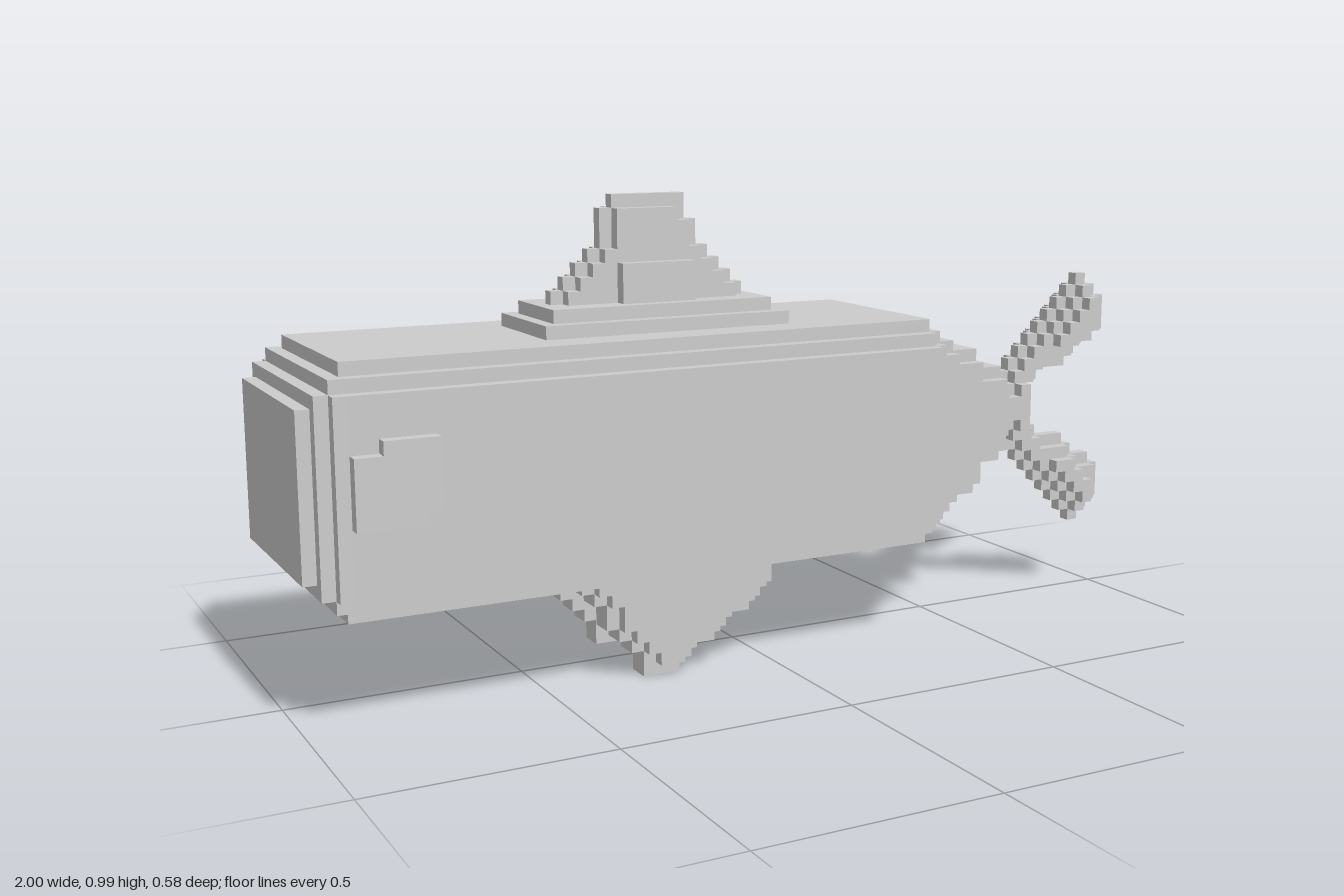
import * as THREE from 'three';
import { mergeGeometries } from 'three/addons/utils/BufferGeometryUtils.js';

// One cell of the block grid: 73 cells make the length of 2 units
const U = 2 / 73;
const MID = 17; // height of the body axis, in cells

const material = new THREE.MeshStandardMaterial({ color: 0xcccccc, flatShading: true });

// Box from cell bounds; x counts from the nose, y from the ground, z from the middle
function block(x0, x1, y0, y1, z0, z1) {
  return new THREE.BoxGeometry((x1 - x0) * U, (y1 - y0) * U, (z1 - z0) * U)
    .translate(((x0 + x1) / 2 - 36.5) * U, ((y0 + y1) / 2) * U, ((z0 + z1) / 2) * U);
}

// Body section with n stair steps on its four long edges
function section(x0, x1, hy, hz, n) {
  const out = [];
  for (let t = 0; t <= n; t++) {
    const h = hy - t, w = hz - (n - t);
    out.push(block(x0, x1, MID - h, MID + h, -w, w));
  }
  return out;
}

// Columns [low, high] to blocks, joining equal neighbours
function columnBlocks(cols, x0, z0, z1) {
  const out = [];
  for (let i = 0; i < cols.length;) {
    const [lo, hi] = cols[i];
    let j = i + 1;
    while (j < cols.length && cols[j][0] === lo && cols[j][1] === hi) j++;
    if (hi > lo) out.push(block(x0 + i, x0 + j, lo, hi, z0, z1));
    i = j;
  }
  return out;
}

// Shrinks a column outline by one cell; open sides (root edges) stay in place
function erode(cols, { bottom = true, top = true, start = true } = {}) {
  const none = [99, -99];
  return cols.map((c, i) => {
    const a = i > 0 ? cols[i - 1] : start ? none : c;
    const b = cols[i + 1] || none;
    return [
      bottom ? Math.max(c[0] + 1, a[0], b[0]) : c[0],
      top ? Math.min(c[1] - 1, a[1], b[1]) : c[1],
    ];
  });
}

export function createModel() {
  const model = new THREE.Group();
  const add = (name, geometries) => {
    const mesh = new THREE.Mesh(mergeGeometries(geometries), material);
    mesh.name = name;
    model.add(mesh);
  };

  // Long body with stepped edges: x start, x end, half height, half width, edge steps
  add('body', [
    [0, 1, 6, 7.5, 0],
    [1, 2, 7, 8.5, 0],
    [2, 3, 8, 9.5, 1],
    [3, 50, 9, 9.5, 2],
  ].flatMap((s) => section(...s)));

  // Taper towards the tail
  add('tailTaper', [
    [50, 51, 8, 8.5, 1],
    [51, 53, 7, 7.5, 1],
    [53, 56, 6, 6.5, 1],
    [56, 60, 4, 4.5, 1],
    [60, 61, 3, 3.5, 1],
  ].flatMap((s) => section(...s)));

  // Forked tail: thin rim, thicker core, mirrored about the body axis
  const tail = [];
  let lobe = [[0, 3], [0, 3], [0, 4], [0, 5], [2, 6], [3, 7], [3, 8], [3, 9],
    [4, 10], [5, 11], [5, 10], [6, 9]];
  for (let k = 0; k < 3; k++) {
    tail.push(...columnBlocks(lobe.map(([a, b]) => [MID + a, MID + b]), 61, -k - 0.5, k + 0.5));
    tail.push(...columnBlocks(lobe.map(([a, b]) => [MID - b, MID - a]), 61, -k - 0.5, k + 0.5));
    const next = erode(lobe, { start: false });
    // The two lobes stay joined at the root
    lobe = next.map((c, i) => (i < 3 ? [0, c[1]] : c));
  }
  add('tailFin', tail);

  // Dorsal fin on a two-step base
  const back = [27, 28, 29, 30, 31, 32, 35, 36, 36, 36, 36, 36, 36, 34, 32, 31, 30, 29, 28, 27]
    .map((top) => [26, top]);
  add('dorsalFin', [
    block(19, 39, 26, 27, -4.5, 4.5),
    block(20, 38, 27, 28, -3.5, 3.5),
    block(26, 32, 28, 31, -2.5, 2.5),
    ...columnBlocks(back, 19, -0.5, 0.5),
    ...columnBlocks(erode(back, { bottom: false }), 19, -1.5, 1.5),
  ]);

  // Paired belly fins, with a smaller outer layer
  const belly = [7, 6, 4, 3, 2, 0, 0, 0, 1, 2, 2, 3, 4, 4, 5, 6].map((low) => [low, 8]);
  const bellyOuter = erode(belly, { top: false });
  for (const [side, name] of [[1, 'leftBellyFin'], [-1, 'rightBellyFin']]) {
    const span = (a, b) => (side > 0 ? [a, b] : [-b, -a]);
    add(name, [
      ...columnBlocks(belly, 21, ...span(3.5, 5.5)),
      ...columnBlocks(bellyOuter, 21, ...span(5.5, 6.5)),
    ]);
  }

  // Raised eyes with two clipped corners
  const eye = [[15, 20], [15, 20], [15, 21], [15, 21], [15, 21], [16, 21]];
  add('leftEye', columnBlocks(eye, 3, 9.5, 10.5));
  add('rightEye', columnBlocks(eye, 3, -10.5, -9.5));

  return model;
}
